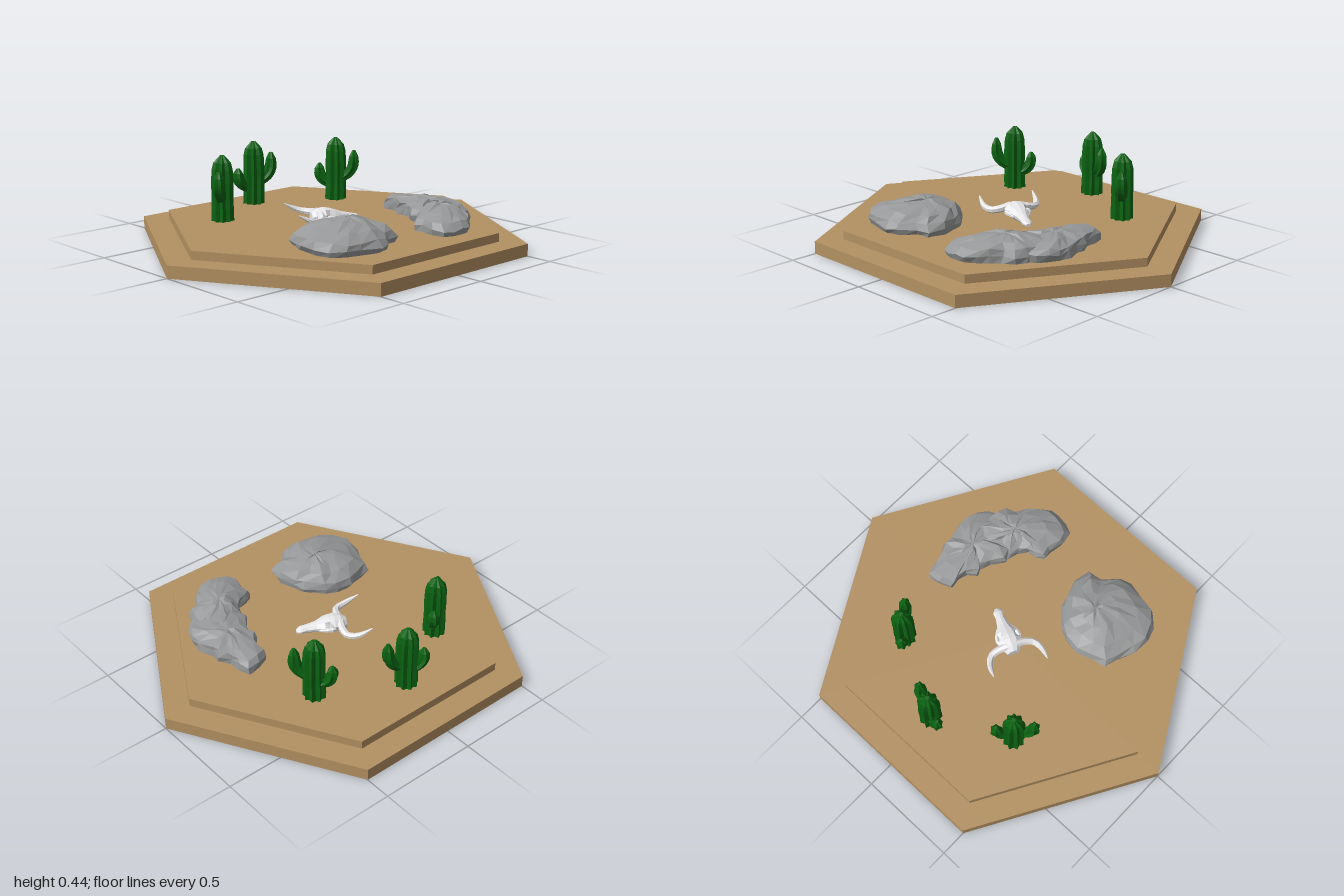
import * as THREE from 'three';

const GROUND = 0.105;
const V = (x, y, z) => new THREE.Vector3(x, y, z);

// Small seeded random in -1..1
function seeded(seed) {
  let s = seed;
  return () => {
    s = (s * 16807) % 2147483647;
    return (s / 2147483647) * 2 - 1;
  };
}

// Closed skin through equal-sized rings, capped at both ends, faces outward
function loft(rings) {
  const n = rings[0].length;
  const pts = rings.flat();
  const tris = [];
  for (let i = 0; i < rings.length - 1; i++) {
    for (let j = 0; j < n; j++) {
      const a = i * n + j, b = i * n + (j + 1) % n;
      tris.push([a, b, a + n], [b, b + n, a + n]);
    }
  }
  const last = (rings.length - 1) * n;
  for (const start of [0, last]) {
    const mid = V(0, 0, 0);
    for (let j = 0; j < n; j++) mid.addScaledVector(pts[start + j], 1 / n);
    const c = pts.push(mid) - 1;
    for (let j = 0; j < n; j++) {
      const a = start + j, b = start + (j + 1) % n;
      tris.push(start === 0 ? [c, b, a] : [c, a, b]);
    }
  }
  // Signed volume tells whether the winding must be reversed
  let volume = 0;
  const o = pts[0];
  for (const [a, b, c] of tris) {
    const [p, q, r] = [a, b, c].map((k) => pts[k].clone().sub(o));
    volume += p.dot(q.cross(r));
  }
  const flat = tris.flatMap((t) => (volume < 0 ? [t[0], t[2], t[1]] : t)).map((k) => pts[k]);
  const geo = new THREE.BufferGeometry().setFromPoints(flat);
  geo.computeVertexNormals();
  return geo;
}

// Tube along a path with its own radius profile and optional ribs
function sweep(path, radii, steps, sides, rib = 1) {
  const curve = new THREE.CatmullRomCurve3(path);
  const frames = curve.computeFrenetFrames(steps, false);
  const rings = [];
  for (let i = 0; i <= steps; i++) {
    const t = i / steps;
    const f = t * (radii.length - 1);
    const k = Math.min(Math.floor(f), radii.length - 2);
    const radius = THREE.MathUtils.lerp(radii[k], radii[k + 1], f - k);
    const c = curve.getPointAt(t);
    rings.push(Array.from({ length: sides }, (_, j) => {
      const a = (j / sides) * Math.PI * 2;
      const r = radius * (j % 2 ? rib : 1);
      return c.clone()
        .addScaledVector(frames.normals[i], Math.cos(a) * r)
        .addScaledVector(frames.binormals[i], Math.sin(a) * r);
    }));
  }
  return loft(rings);
}

// Boulder: outline [x, z] shrunk toward a peak through [scale, height] levels
function boulder(outline, peak, levels, count, seed, rough) {
  const rnd = seeded(seed);
  const curve = new THREE.CatmullRomCurve3(outline.map(([x, z]) => V(x, 0, z)), true, 'centripetal');
  const edge = curve.getSpacedPoints(count).slice(0, count)
    .map((p) => V(p.x + rnd() * rough, 0, p.z + rnd() * rough));
  return loft(levels.map(([s, y], i) => edge.map((p) => V(
    peak[0] + (p.x - peak[0]) * s + rnd() * rough * 0.7,
    y + (i ? rnd() * rough * 0.6 : 0),
    peak[1] + (p.z - peak[1]) * s + rnd() * rough * 0.7))));
}

export function createModel() {
  const model = new THREE.Group();
  model.name = 'desertTile';
  const mat = (name, color) => {
    const m = new THREE.MeshStandardMaterial({ color, flatShading: true });
    m.name = name;
    return m;
  };
  const sand = mat('sand', 0xb39162);
  const stone = mat('stone', 0x979899);
  const green = mat('cactusGreen', 0x0b6412);
  const bone = mat('bone', 0xe6e6e8);
  const add = (parent, name, geo, material) => {
    const mesh = new THREE.Mesh(geo, material);
    mesh.name = name;
    parent.add(mesh);
    return mesh;
  };

  // Stepped hexagonal base
  add(model, 'baseSlab', new THREE.CylinderGeometry(1, 1, 0.062, 6), sand).position.y = 0.031;
  add(model, 'groundSlab', new THREE.CylinderGeometry(0.86, 0.86, 0.045, 6), sand).position.y = 0.0825;

  // Cacti: ribbed trunk, high arm along local +x and low arm along -x
  const trunkGeo = sweep([V(0, 0.09, 0), V(0.002, 0.25, 0), V(0, 0.435, 0)],
    [0.058, 0.057, 0.057, 0.055, 0.055, 0.056, 0.056, 0.055, 0.053, 0.044, 0.012], 20, 18, 0.76);
  const armRadii = [0.024, 0.026, 0.03, 0.032, 0.031, 0.026, 0.009];
  const highArm = sweep([V(0.02, 0.215, 0), V(0.06, 0.235, 0), V(0.093, 0.28, 0), V(0.099, 0.37, 0)],
    armRadii, 12, 12, 0.76);
  const lowArm = sweep([V(-0.02, 0.185, 0), V(-0.055, 0.2, 0), V(-0.082, 0.235, 0), V(-0.086, 0.295, 0)],
    armRadii, 12, 12, 0.76);
  const cacti = [[-0.36, -0.39, 0.09, -0.07], [-0.573, 0, 0.035, -0.1], [-0.372, 0.372, 0.07, 0.08]];
  cacti.forEach(([x, z, dx, dz], i) => {
    const cactus = new THREE.Group();
    cactus.name = 'cactus' + (i + 1);
    add(cactus, 'trunk', trunkGeo, green);
    add(cactus, 'highArm', highArm, green);
    add(cactus, 'lowArm', lowArm, green);
    cactus.position.set(x, 0, z);
    cactus.rotation.y = Math.atan2(-dz, dx);
    model.add(cactus);
  });

  // Broad rounded boulder
  add(model, 'roundBoulder', boulder(
    [[0.18, 0.3], [0.2, 0.17], [0.3, 0.08], [0.42, 0.02], [0.52, 0.06], [0.56, 0.14], [0.61, 0.2],
      [0.62, 0.33], [0.58, 0.46], [0.47, 0.52], [0.35, 0.49], [0.2, 0.43]],
    [0.38, 0.22],
    [[0.93, 0.095], [1, 0.13], [0.93, 0.165], [0.72, 0.195], [0.4, 0.218], [0.12, 0.23]], 18, 77, 0.013), stone);

  // Jagged boulder made of two overlapping slabs
  const jagged = new THREE.Group();
  jagged.name = 'jaggedBoulder';
  model.add(jagged);
  add(jagged, 'lowerSlab', boulder(
    [[-0.035, -0.52], [0.08, -0.57], [0.2, -0.605], [0.38, -0.58], [0.44, -0.5], [0.42, -0.36], [0.29, -0.3],
      [0.2, -0.37], [0.12, -0.35], [0.08, -0.41], [-0.02, -0.4]],
    [0.22, -0.47],
    [[0.97, 0.095], [1, 0.14], [0.92, 0.165], [0.6, 0.182], [0.25, 0.193]], 22, 31, 0.014), stone);
  add(jagged, 'upperSlab', boulder(
    [[0.25, -0.51], [0.3, -0.55], [0.37, -0.53], [0.43, -0.54], [0.52, -0.48], [0.58, -0.38], [0.65, -0.32],
      [0.64, -0.2], [0.5, -0.16], [0.4, -0.19], [0.41, -0.26], [0.31, -0.3], [0.35, -0.39], [0.26, -0.43]],
    [0.42, -0.37],
    [[0.97, 0.095], [1, 0.135], [0.92, 0.168], [0.62, 0.195], [0.25, 0.21]], 24, 53, 0.014), stone);

  // Horned skull: local +z is the snout, built from [z, halfWidth, top, socketDent]
  const skull = new THREE.Group();
  skull.name = 'skull';
  const stations = [[0, 0.032, 0.155, 1], [0.03, 0.052, 0.172, 1], [0.065, 0.06, 0.177, 1], [0.09, 0.056, 0.174, 0.6],
    [0.115, 0.052, 0.166, 1], [0.155, 0.033, 0.152, 1], [0.2, 0.024, 0.142, 1], [0.235, 0.026, 0.135, 1],
    [0.255, 0.012, 0.122, 1]];
  const section = [[-0.6, 0], [-0.95, 0.3], [-1, 0.6], [-0.55, 0.92], [0, 1], [0.55, 0.92], [1, 0.6], [0.95, 0.3], [0.6, 0]];
  add(skull, 'cranium', loft(stations.map(([z, w, top, dent]) => section.map(([x, h]) =>
    V(x * w * (h === 0.6 ? dent : 1), GROUND - 0.003 + (top - GROUND) * h, z)))), bone);
  for (const side of [-1, 1]) {
    const name = side < 0 ? 'rightHorn' : 'leftHorn';
    add(skull, name, sweep([V(side * 0.02, 0.15, 0.035), V(side * 0.07, 0.138, 0.035), V(side * 0.115, 0.13, 0.018),
      V(side * 0.138, 0.138, -0.03), V(side * 0.142, 0.172, -0.1)],
    [0.02, 0.019, 0.017, 0.013, 0.003], 10, 7), bone);
    // Cheek bone below the eye socket
    add(skull, 'cheek', sweep([V(side * 0.04, 0.125, 0.04), V(side * 0.057, 0.13, 0.085), V(side * 0.035, 0.122, 0.145)],
      [0.008, 0.013, 0.007], 5, 6), bone);
  }
  skull.position.set(-0.05, 0, 0.07);
  skull.rotation.y = Math.atan2(0.115, -0.23);
  model.add(skull);
  return model;
}
